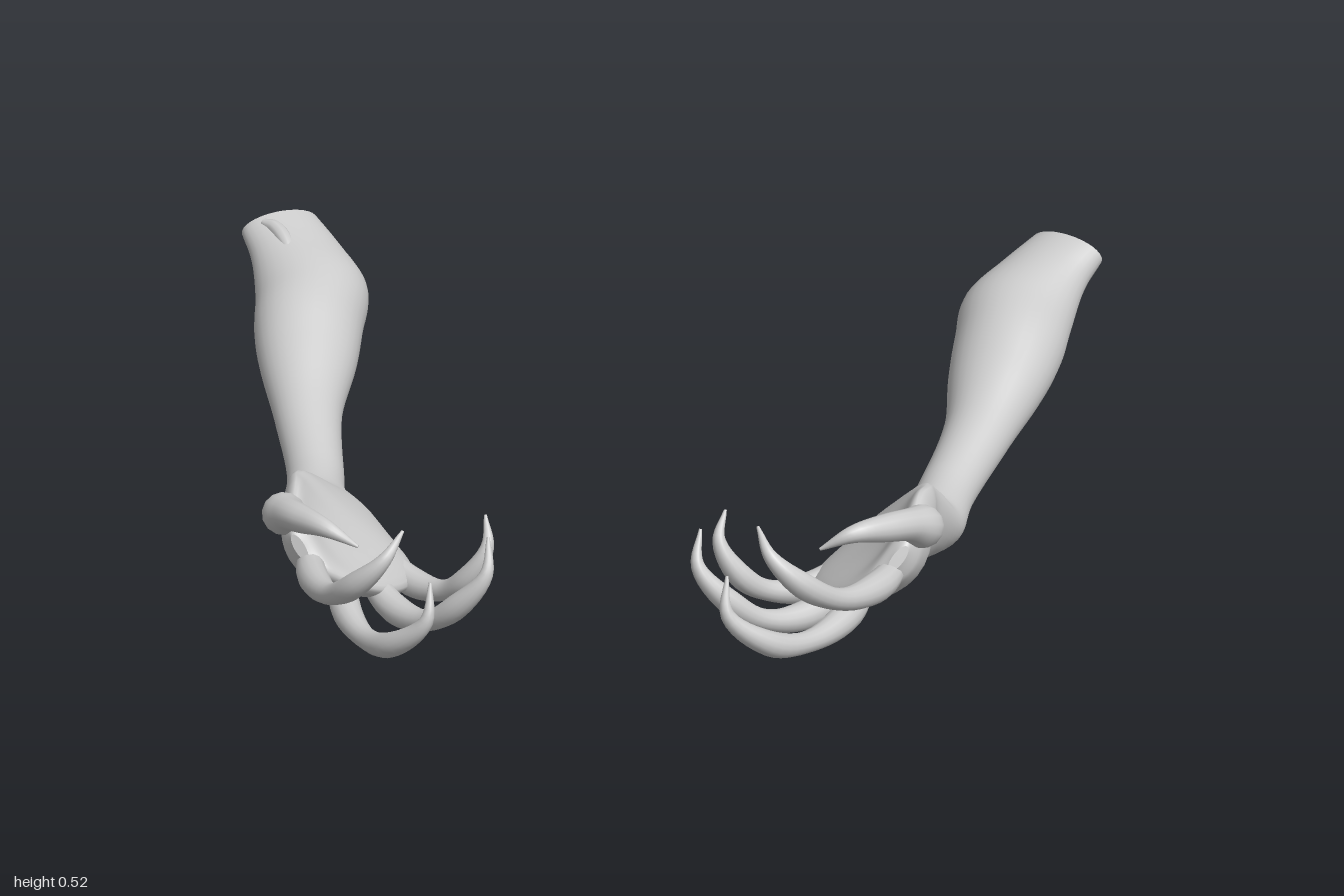
import * as THREE from 'three';

const material = new THREE.MeshStandardMaterial({ color: 0xcccccc });
const V = (x, y, z) => new THREE.Vector3(x, y, z);

// Skin a closed body over rings [x, y, z, halfWidth, halfHeight, roll, cup]; cup bends the sides up.
// Each ring faces along the chord reaching h to either side of it.
function loft(rings, steps, sides, h) {
  const curve = (f, type) => new THREE.CatmullRomCurve3(rings.map(f), false, type);
  const path = curve(r => V(r[0], r[1], r[2]), 'centripetal');
  const size = curve(r => V(r[3], r[4], r[5] || 0), 'catmullrom');
  const cups = curve(r => V(0, r[6] || 0, 0), 'catmullrom');
  const pos = [], index = [], total = steps * (rings.length - 1);
  let side = null;
  for (let i = 0; i <= total; i++) {
    const u = i / total, c = path.getPoint(u), k = size.getPoint(u), cup = cups.getPoint(u).y;
    const t = path.getPoint(Math.min(1, u + h)).sub(path.getPoint(Math.max(0, u - h))).normalize();
    side = side || V(0, 1, 0).cross(t);
    side.addScaledVector(t, -side.dot(t)).normalize();
    const w = side.clone().applyAxisAngle(t, k.z), n = t.clone().cross(w);
    for (let j = 0; j < sides; j++) {
      const a = j / sides * Math.PI * 2;
      const p = c.clone().addScaledVector(w, Math.cos(a) * k.x)
        .addScaledVector(n, Math.sin(a) * k.y + cup * (Math.cos(a) ** 2 - 0.5));
      pos.push(p.x, p.y, p.z);
      if (i < total) {
        const j2 = (j + 1) % sides, A = i * sides + j, B = i * sides + j2;
        index.push(A, B, B + sides, A, B + sides, A + sides);
      }
    }
  }
  // flat end caps on their own vertices
  for (const end of [0, total]) {
    const first = end * sides * 3, base = pos.length / 3, mid = [0, 0, 0];
    for (let j = 0; j < sides * 3; j++) {
      pos.push(pos[first + j]);
      mid[j % 3] += pos[first + j] / sides;
    }
    pos.push(...mid);
    for (let j = 0; j < sides; j++) {
      const a = base + j, b = base + (j + 1) % sides;
      index.push(base + sides, end ? a : b, end ? b : a);
    }
  }
  const geo = new THREE.BufferGeometry();
  geo.setAttribute('position', new THREE.Float32BufferAttribute(pos, 3));
  geo.setIndex(index);
  geo.computeVertexNormals();
  return geo;
}

// shoulder stump, forearm, wrist and broad cupped palm
const ARM = [
  [.925, .485, -.76, .095, .052],
  [.87, .435, -.69, .11, .072],
  [.82, .37, -.60, .132, .108],
  [.805, .325, -.48, .125, .112],
  [.785, .28, -.36, .11, .095],
  [.755, .222, -.2, .077, .07],
  [.70, .157, 0, .062, .06],
  [.675, .135, .12, .075, .066, .25],
  [.62, .142, .2, .125, .066, .6, .02],
  [.578, .14, .28, .168, .06, .66, .04],
  [.587, .153, .36, .163, .054, .73, .05],
  [.61, .178, .43, .13, .046, .82, .05],
  [.625, .195, .485, .08, .034, .85, .02],
  [.63, .20, .51, .03, .012, .85],
];

// each finger starts inside the palm and ends in a hooked claw
const FINGERS = {
  littleFinger: [[.54, .09, .22], [.44, .046, .305], [.36, .06, .375], [.305, .105, .415], [.262, .18, .42], [.27, .235, .385]],
  ringFinger: [[.545, .095, .32], [.455, .045, .44], [.37, .06, .53], [.30, .115, .575], [.24, .19, .585], [.24, .255, .55]],
  middleFinger: [[.565, .125, .39], [.535, .088, .54], [.47, .08, .67], [.40, .11, .76], [.325, .18, .80], [.32, .25, .775]],
  indexFinger: [[.63, .165, .42], [.595, .16, .56], [.53, .185, .70], [.465, .24, .775], [.405, .30, .79], [.375, .345, .75]],
  thumb: [[.655, .21, .37], [.672, .25, .455], [.65, .275, .515], [.605, .288, .575], [.545, .292, .63], [.485, .262, .64]],
};
const FINGER_R = [.022, .031, .022, .025, .014, .003];
const THUMB_R = [.03, .044, .033, .028, .017, .003];

// hooked spikes under the forearm, largest at the elbow
const SPIKES = [
  [[.83, .30, -.53], [.83, .21, -.60], [.83, .155, -.69], [.82, .155, -.82]],
  [[.79, .23, -.34], [.79, .145, -.40], [.785, .10, -.47], [.775, .10, -.555]],
  [[.75, .19, -.18], [.75, .125, -.215], [.745, .092, -.255], [.74, .09, -.315]],
];
const SPIKE_R = [.04, .034, .024, .003];

function createArm(s) {
  const arm = new THREE.Group();
  arm.name = s > 0 ? 'leftArm' : 'rightArm';
  const add = (name, rings, steps, sides, h = .02) => {
    const geo = loft(rings.map(r => [r[0] * s, r[1], r[2], r[3], r[4], (r[5] || 0) * s, r[6]]), steps, sides, h);
    // the left arm swings slightly inward and up from its shoulder
    if (s > 0) geo.translate(-.9, -.46, .72).rotateX(-.018).rotateY(-.048).translate(.9, .46, -.72);
    const mesh = new THREE.Mesh(geo, material);
    mesh.name = name;
    arm.add(mesh);
  };
  const taper = (points, radii, k = 1) => points.map((p, i) => [...p, radii[i] * k, radii[i] * k]);

  add('forearmAndPalm', ARM, 6, 32, .15);
  for (const name in FINGERS) add(name, taper(FINGERS[name], name === 'thumb' ? THUMB_R : FINGER_R), 6, 14);
  SPIKES.forEach((p, i) => add('forearmSpike' + (i + 1), taper(p, SPIKE_R, 1 - i * .17), 6, 14));
  // loose fold of skin on the right shoulder
  if (s < 0) {
    const fold = [[.95, .51, -.70], [.92, .503, -.685], [.885, .483, -.64], [.86, .455, -.585]];
    add('shoulderFold', taper(fold, [.01, .018, .018, .006]), 6, 10);
  }
  return arm;
}

export function createModel() {
  const model = new THREE.Group();
  model.name = 'clawedArms';
  model.add(createArm(1), createArm(-1));
  return model;
}
